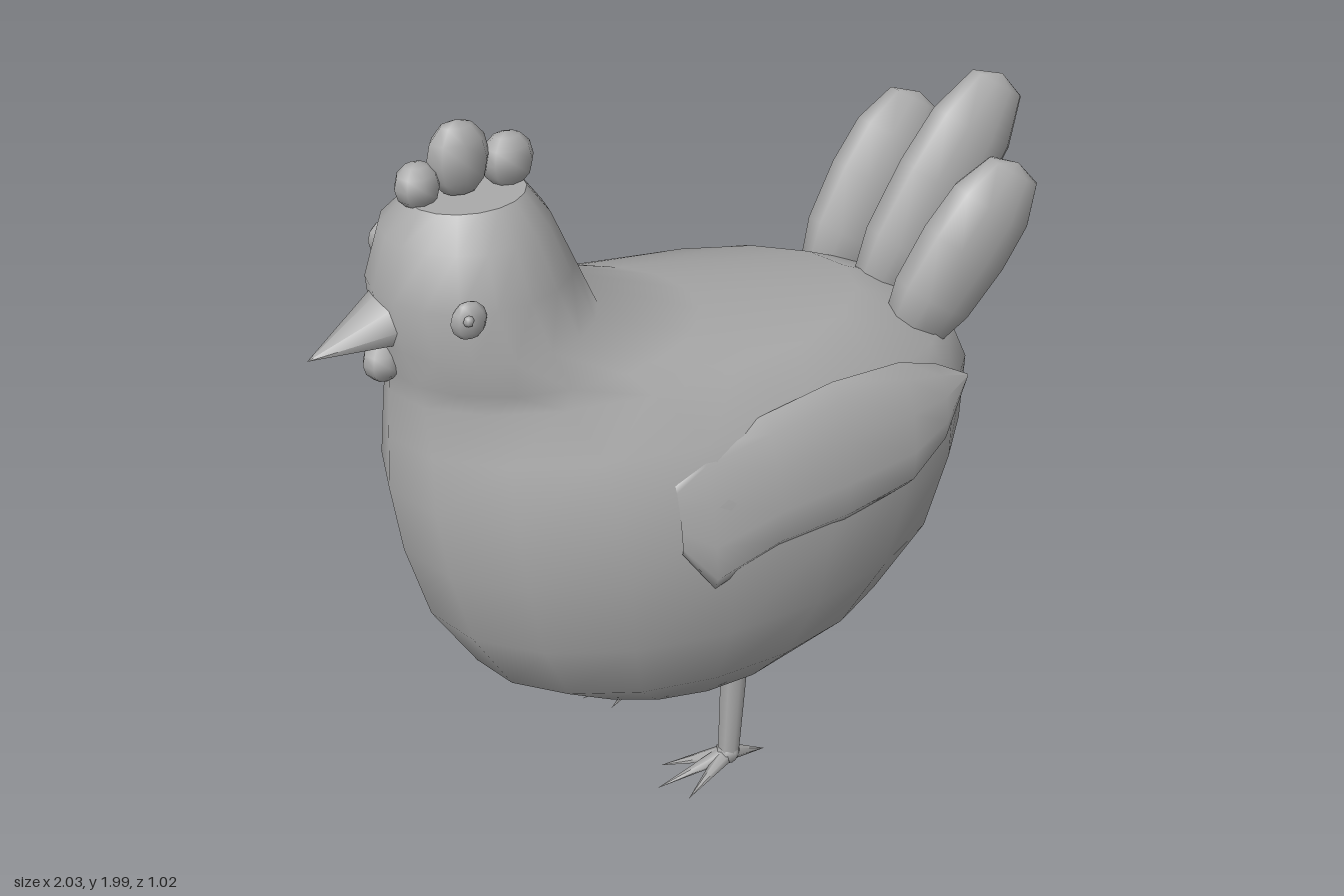
import * as THREE from 'three';

const plumage = new THREE.MeshStandardMaterial({ color: 0xaaaaaa });
plumage.name = 'plain grey';

// Skins a list of equally sized closed rings of points.
function loft(rings) {
  const n = rings[0].length, pos = [], idx = [];
  for (const ring of rings) for (const p of ring) pos.push(...p);
  for (let i = 0; i < rings.length - 1; i++) {
    for (let j = 0; j < n; j++) {
      const k = (j + 1) % n, a = i * n + j, b = i * n + k;
      idx.push(a, a + n, b, b, a + n, b + n);
    }
  }
  const g = new THREE.BufferGeometry();
  g.setAttribute('position', new THREE.Float32BufferAttribute(pos, 3));
  g.setIndex(idx);
  g.computeVertexNormals();
  return g;
}

const ringOf = (n, f) => Array.from({ length: n }, (_, j) => f(Math.cos(j / n * 2 * Math.PI), Math.sin(j / n * 2 * Math.PI)));

export function createModel() {
  const model = new THREE.Group();
  const add = (name, geometry, parent = model) => {
    const m = new THREE.Mesh(geometry, plumage);
    m.name = name;
    parent.add(m);
    return m;
  };
  const blob = (name, p, r, w = 8, h = 6) => {
    const m = add(name, new THREE.SphereGeometry(1, w, h));
    m.position.set(...p);
    m.scale.set(...r);
    return m;
  };
  // Cone whose base is centred on one point and whose tip is at another.
  const spike = (name, from, to, r, sides, parent) => {
    const a = new THREE.Vector3(...from), d = new THREE.Vector3(...to).sub(a);
    const g = new THREE.ConeGeometry(r, d.length(), sides).translate(0, d.length() / 2, 0);
    const m = add(name, g, parent);
    m.position.copy(a);
    m.quaternion.setFromUnitVectors(new THREE.Vector3(0, 1, 0), d.normalize());
    return m;
  };

  // Body, neck and head: height, front x, back x, half width
  const levels = [
    [0.295, -0.01, 0.01, 0.01], [0.34, -0.42, 0.40, 0.29], [0.46, -0.62, 0.62, 0.385],
    [0.66, -0.74, 0.77, 0.465], [0.88, -0.80, 0.835, 0.50], [1.07, -0.825, 0.845, 0.49],
    [1.22, -0.815, 0.78, 0.435], [1.345, -0.805, 0.50, 0.345], [1.40, -0.80, 0.02, 0.305],
    [1.49, -0.815, -0.27, 0.27], [1.62, -0.825, -0.325, 0.245], [1.75, -0.785, -0.38, 0.205],
    [1.82, -0.72, -0.43, 0.13], [1.82, -0.72, -0.43, 0.13], [1.82, -0.58, -0.57, 0.005],
  ];
  add('body', loft(levels.map(([y, x0, x1, w]) =>
    ringOf(18, (c, s) => [(x0 + x1) / 2 + (x1 - x0) / 2 * c, y, w * s]))));

  // Comb
  blob('combFront', [-0.695, 1.86, 0], [0.057, 0.058, 0.05]);
  blob('combMiddle', [-0.59, 1.905, 0], [0.08, 0.095, 0.053]);
  blob('combBack', [-0.465, 1.875, 0], [0.068, 0.07, 0.05]);

  // Beak and wattle
  const beak = spike('beak', [-0.79, 1.545, 0], [-1, 1.48, 0], 0.085, 8);
  beak.scale.set(0.85, 1, 1.05);
  blob('wattle', [-0.815, 1.43, 0], [0.05, 0.052, 0.045]);

  // Wing stations: x, centre y, centre z, half height, half thickness
  const stations = [
    [-0.262, 1.05, 0.45, 0.09, 0.01], [-0.18, 1.025, 0.45, 0.185, 0.035],
    [0.0, 1.075, 0.445, 0.175, 0.055], [0.2, 1.095, 0.44, 0.185, 0.058],
    [0.42, 1.095, 0.41, 0.165, 0.058], [0.55, 1.105, 0.38, 0.105, 0.045],
    [0.65, 1.15, 0.365, 0.004, 0.004],
  ];
  for (const s of [1, -1]) {
    const side = s > 0 ? 'left' : 'right';
    add(side + 'Wing', loft(stations.map(([x, y, z, h, t]) =>
      ringOf(10, (c, q) => [x, y + h * c, s * (z - 0.2 * h * c) - t * q]))));

    // Eye with a small pupil bump
    blob(side + 'Eye', [-0.69, 1.62, 0.24 * s], [0.046, 0.048, 0.025]);
    blob(side + 'Pupil', [-0.7, 1.63, 0.262 * s], [0.014, 0.014, 0.012], 6, 4);

    // Leg and foot
    const leg = new THREE.Group();
    leg.name = side + 'Leg';
    leg.position.z = 0.225 * s;
    model.add(leg);
    const shank = add('shank', new THREE.CylinderGeometry(0.038, 0.03, 0.33, 7), leg);
    shank.position.set(0.03, 0.205, 0);
    shank.rotation.z = -0.05;
    const ankle = add('ankle', new THREE.SphereGeometry(0.035, 7, 5), leg);
    ankle.position.set(0.02, 0.045, 0);
    for (const [x, z] of [[-0.205, 0], [-0.15, 0.08], [-0.15, -0.08], [0.14, 0]]) {
      spike('toe', [0.02, 0.042, 0], [x, 0.006, z], 0.026, 6, leg);
    }
  }

  // Tail feathers: rounded blades leaning backwards and fanning out
  const blade = [[0, -1], [0.62, -0.9], [0.92, -0.45], [1, 0.1], [0.93, 0.55], [0.6, 0.92], [0, 1]]
    .map(([x, y]) => new THREE.Vector2(x, y));
  const feathers = [
    ['middleTailFeather', 0.78, 1.49, 0, 0.36, 0.145],
    ['leftTailFeather', 0.73, 1.4, 0.19, 0.285, 0.145],
    ['rightTailFeather', 0.71, 1.43, -0.2, 0.3, 0.145],
  ];
  for (const [name, x, y, z, length, width] of feathers) {
    const f = add(name, new THREE.LatheGeometry(blade, 10));
    f.position.set(x, y, z);
    f.scale.set(width, length, 0.098);
    f.rotation.set(Math.sign(z) * 0.08, 0, -0.58);
  }
  return model;
}
